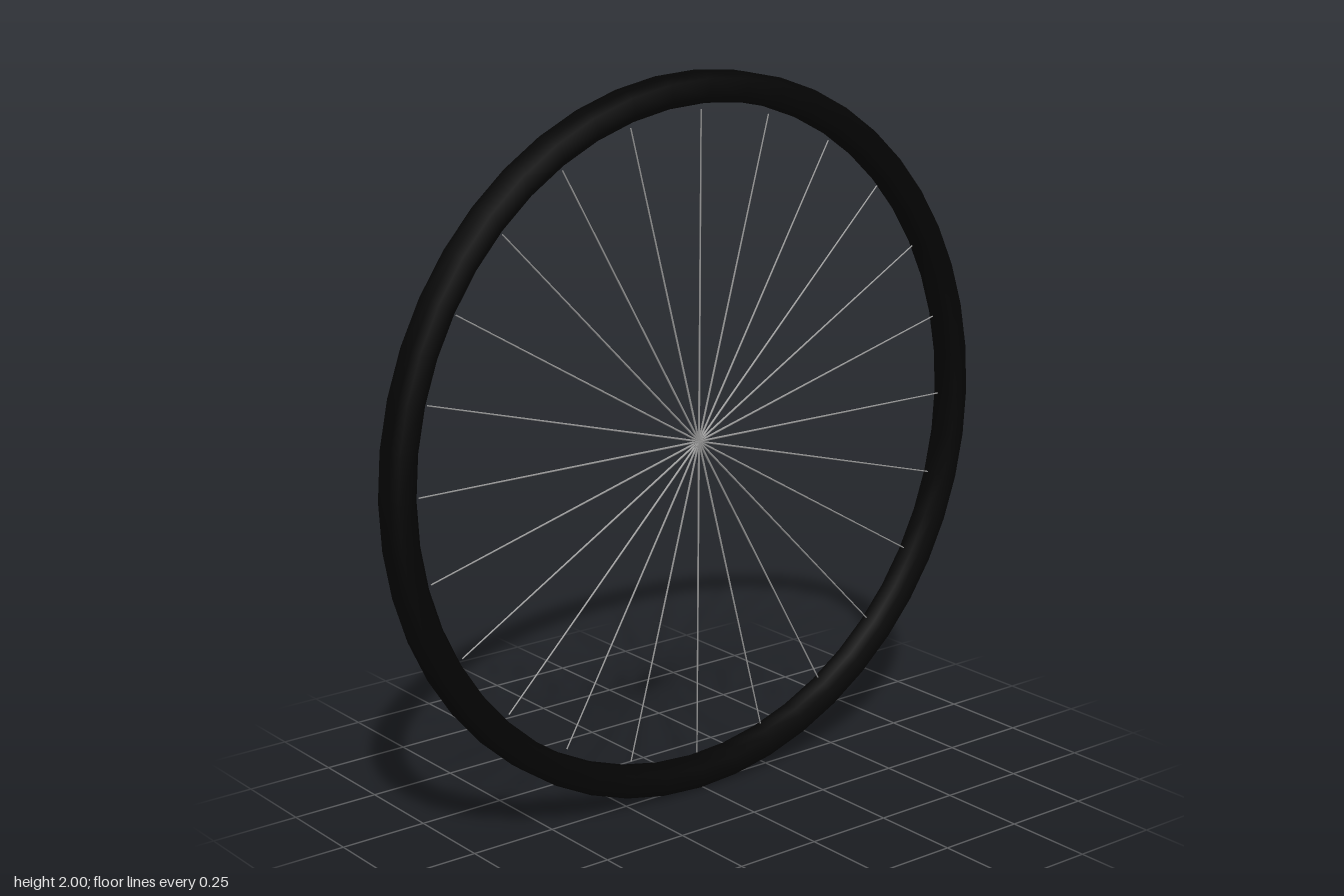
import * as THREE from 'three';

export function createModel() {
  const wheel = new THREE.Group();
  wheel.name = 'wheel';

  const rubber = new THREE.MeshStandardMaterial({ color: 0x040404 });
  const steel = new THREE.MeshStandardMaterial({ color: 0x999999 });

  // Tyre: square section with chamfered corners, swept around the axle
  const ringRadius = 0.959, half = 0.041, flat = 0.024;
  const section = [
    [half, -flat], [half, flat], [flat, half], [-flat, half],
    [-half, flat], [-half, -flat], [-flat, -half], [flat, -half], [half, -flat],
  ].map(([r, z]) => new THREE.Vector2(ringRadius + r, z));
  const tyreGeometry = new THREE.LatheGeometry(section, 48);
  tyreGeometry.rotateX(Math.PI / 2);
  const tyre = new THREE.Mesh(tyreGeometry, rubber);
  tyre.name = 'tyre';
  wheel.add(tyre);

  // Spokes: thin rods that stop just short of the tyre
  const spokes = new THREE.Group();
  spokes.name = 'spokes';
  const spokeCount = 24, spokeLength = 0.9;
  const spokeGeometry = new THREE.CylinderGeometry(0.002, 0.003, spokeLength, 6);
  spokeGeometry.translate(0, spokeLength / 2, 0);
  for (let i = 0; i < spokeCount; i++) {
    const spoke = new THREE.Mesh(spokeGeometry, steel);
    spoke.name = 'spoke';
    spoke.rotation.z = (i / spokeCount) * Math.PI * 2;
    spokes.add(spoke);
  }
  spokes.position.z = 0.007;
  wheel.add(spokes);

  // Slight turn of the whole wheel, standing on the ground
  wheel.rotation.set(0, 0.011, -0.008);
  wheel.position.y = 1;

  const model = new THREE.Group();
  model.name = 'spokedWheel';
  model.add(wheel);
  return model;
}
